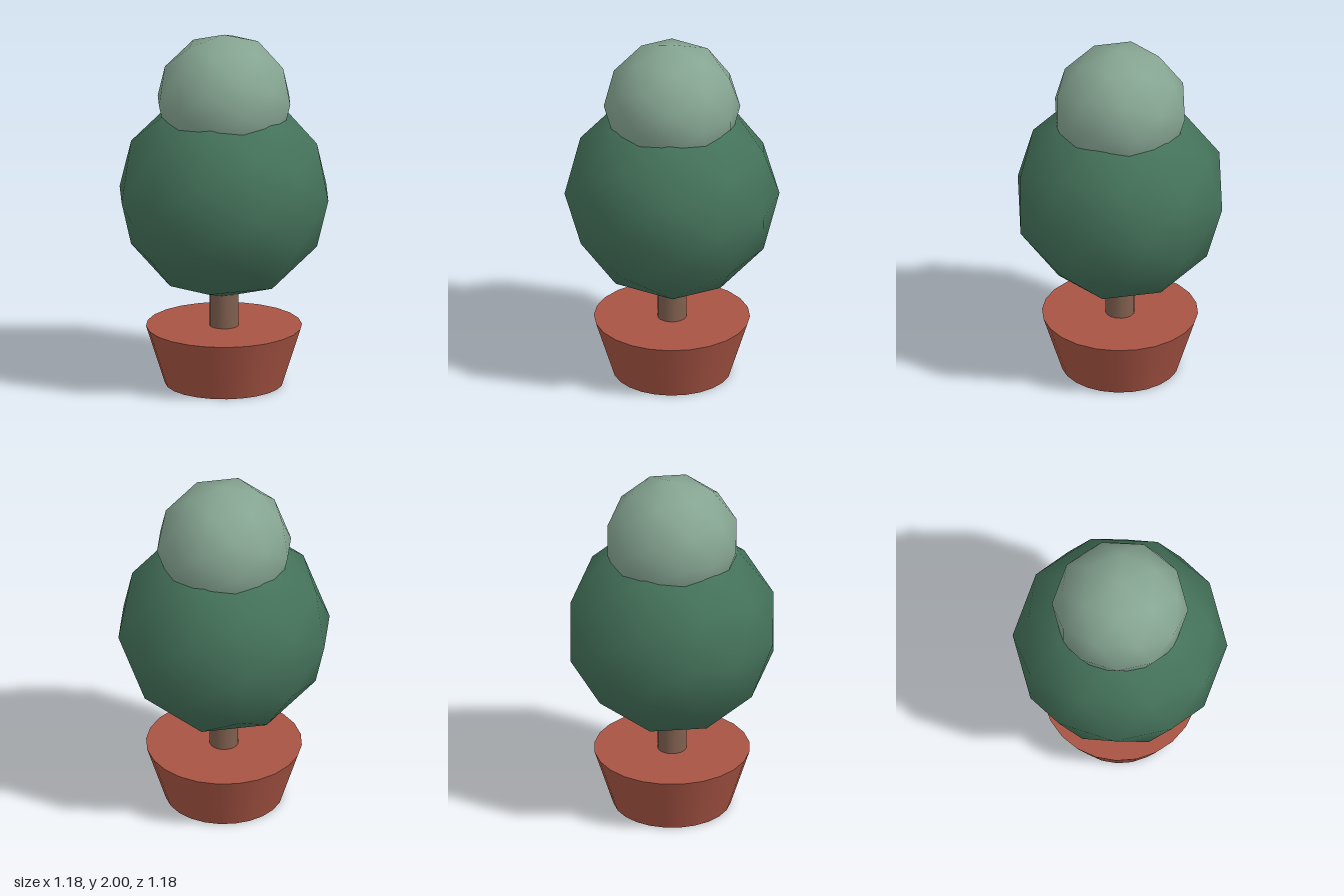
import * as THREE from 'three';

function addPart(group, name, geometry, color, y) {
  const mesh = new THREE.Mesh(geometry, new THREE.MeshStandardMaterial({ color }));
  mesh.name = name;
  mesh.position.y = y;
  group.add(mesh);
}

export function createModel() {
  const tree = new THREE.Group();
  tree.name = 'pottedTree';

  // Tapered closed pot
  addPart(tree, 'pot', new THREE.CylinderGeometry(0.43, 0.325, 0.33, 24), 0xa85444, 0.165);

  // Trunk, rising from the pot into the foliage
  addPart(tree, 'trunk', new THREE.CylinderGeometry(0.08, 0.08, 0.5, 16), 0x80604f, 0.56);

  // Two stacked low-poly balls of foliage, smoothly shaded
  addPart(tree, 'lowerFoliage', new THREE.IcosahedronGeometry(0.592, 1), 0x44725a, 1.085);
  addPart(tree, 'upperFoliage', new THREE.IcosahedronGeometry(0.376, 1), 0x86a592, 1.624);

  return tree;
}
